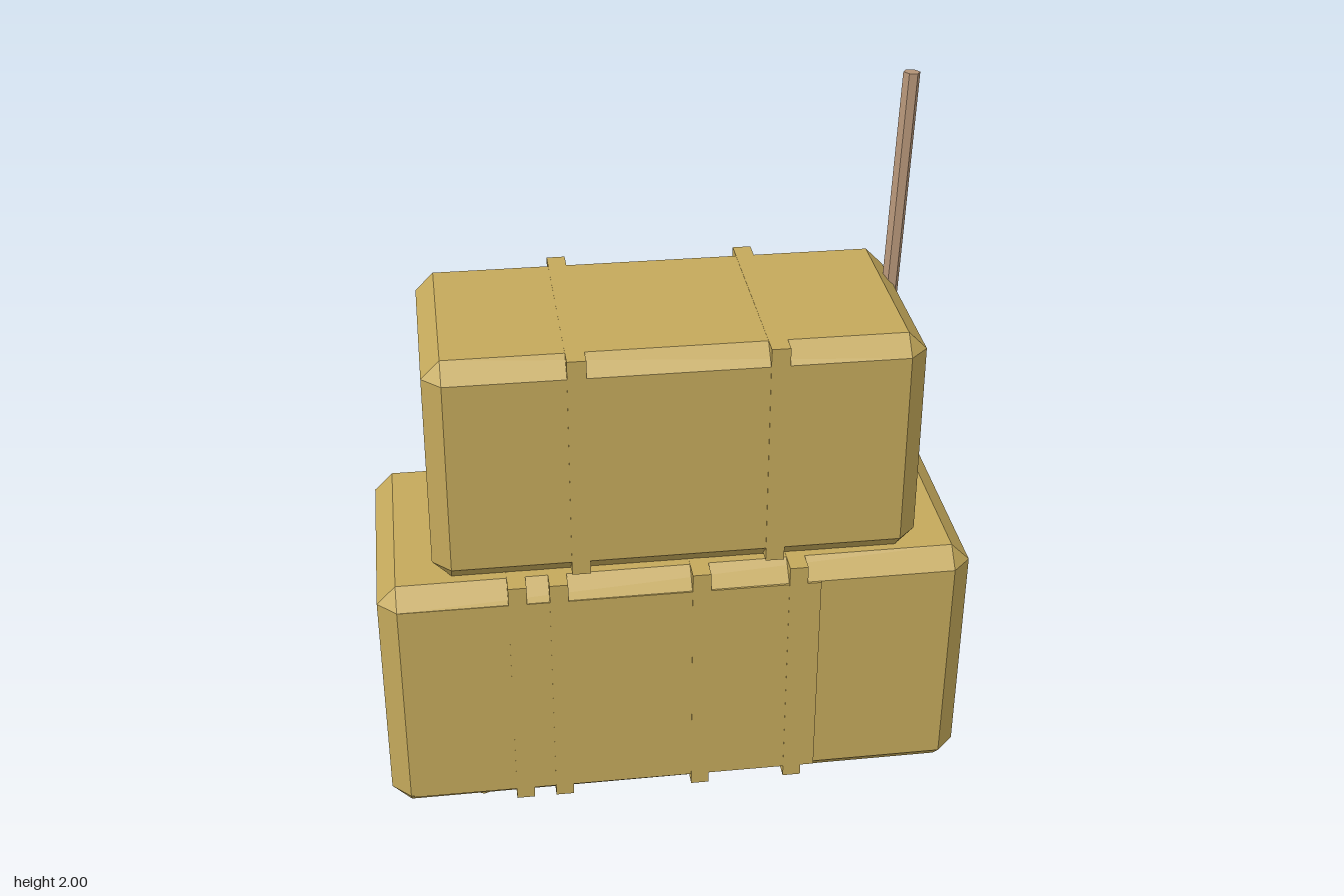
import * as THREE from 'three';
import { ConvexGeometry } from 'three/addons/geometries/ConvexGeometry.js';

const hay = new THREE.MeshStandardMaterial({ color: 0xc4a95b });
hay.name = 'hay';
const wood = new THREE.MeshStandardMaterial({ color: 0xb59578 });
wood.name = 'wood';
const dark = new THREE.MeshStandardMaterial({ color: 0x56626c });
dark.name = 'slateGrey';

function add(parent, name, geometry, material, x = 0, y = 0, z = 0) {
  const mesh = new THREE.Mesh(geometry, material);
  mesh.name = name;
  mesh.position.set(x, y, z);
  parent.add(mesh);
  return mesh;
}

// Box with every edge and corner cut; warp(point) bends it slightly
function chamferedBox(w, h, d, c, warp) {
  const points = [];
  for (const sx of [-1, 1]) for (const sy of [-1, 1]) for (const sz of [-1, 1]) {
    for (let axis = 0; axis < 3; axis++) {
      const p = new THREE.Vector3(
        sx * (w / 2 - (axis === 0 ? 0 : c)),
        sy * (h / 2 - (axis === 1 ? 0 : c)),
        sz * (d / 2 - (axis === 2 ? 0 : c)));
      warp(p);
      points.push(p);
    }
  }
  return new ConvexGeometry(points);
}

// A bale with twine bands that bridge its chamfered edges
function makeBale(name, w, h, d, c, bands, bandBottom, warp) {
  const bale = new THREE.Group();
  bale.name = name;
  add(bale, 'baleBody', chamferedBox(w, h, d, c, warp), hay);
  const bandHeight = h / 2 - bandBottom;
  for (const x of bands) {
    add(bale, 'twineBand', new THREE.BoxGeometry(0.052, bandHeight, d + 0.004), hay,
      x, h / 2 - bandHeight / 2 + 0.001, 0);
  }
  return bale;
}

// Flat clump that keeps the rounded normals of a ball
function clumpGeometry(r, thickness) {
  const geometry = new THREE.SphereGeometry(r, 6, 5);
  const pos = geometry.attributes.position;
  for (let i = 0; i < pos.count; i++) {
    pos.setY(i, pos.getY(i) * thickness / r);
    pos.setZ(i, pos.getZ(i) * 0.85);
  }
  return geometry;
}

export function createModel() {
  const model = new THREE.Group();
  model.name = 'hayBaleStack';

  // Lower bale, its front drawn in a little toward the left end
  const lower = makeBale('lowerBale', 1.684, 0.754, 0.718, 0.054,
    [-0.455, -0.34, 0.06, 0.335], -0.362, (p) => {
      if (p.z > 0 && p.x > 0) p.z -= 0.008;
      if (p.x > 0 && p.y < 0) p.x -= 0.005;
    });
  lower.position.y = 0.38;
  model.add(lower);

  // Raised section of the front face
  add(model, 'frontLayer', new THREE.BoxGeometry(1.18, 0.65, 0.008), hay, -0.19, 0.378, 0.356);

  // Upper bale
  const upper = makeBale('upperBale', 1.36, 0.677, 0.646, 0.052,
    [-0.273, 0.271], -0.328, (p) => {
      if (p.x < 0 && p.y < 0) p.x -= 0.003;
      if (p.z < 0 && p.y > 0) p.z += 0.003;
    });
  upper.position.y = 1.094;
  model.add(upper);

  // Leaning handle stuck into the bales
  const top = new THREE.Vector3(0.709, 1.998, -0.182);
  const bottom = new THREE.Vector3(0.628, 0.5, -0.098);
  const shaft = top.clone().sub(bottom);
  const handleGeometry = new THREE.CylinderGeometry(0.024, 0.024, shaft.length(), 6, 1, false, Math.PI / 6).toNonIndexed();
  handleGeometry.computeVertexNormals();
  const handle = add(model, 'handle', handleGeometry, wood);
  handle.position.copy(top).add(bottom).multiplyScalar(0.5);
  handle.quaternion.setFromUnitVectors(new THREE.Vector3(0, 1, 0), shaft.normalize());

  // Round grey plate set in the underside
  add(model, 'bottomPlate', new THREE.CylinderGeometry(0.174, 0.174, 0.004, 32), dark, 0.613, 0.002, 0.02);

  // Shallow clumps of hay under the lower bale
  for (const [x, z, r, turn] of [[0.02, -0.07, 0.27, 0.2], [-0.26, 0, 0.18, 0.7], [-0.53, 0.08, 0.28, 0.4]]) {
    const clump = add(model, 'hayClump', clumpGeometry(r, 0.006), hay, x, 0.006, z);
    clump.rotation.y = turn;
  }
  return model;
}
